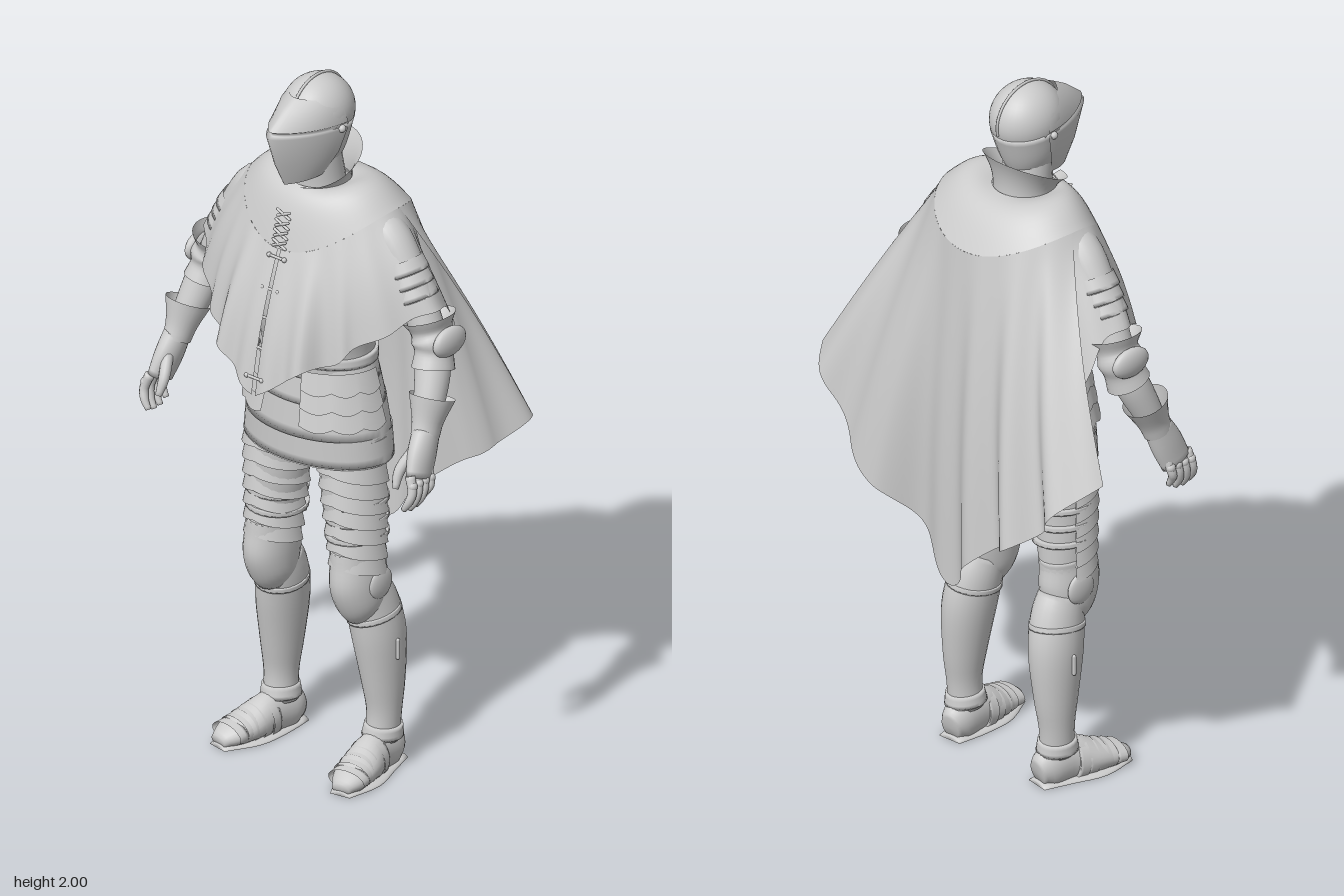
import * as THREE from 'three';
import { mergeVertices } from 'three/addons/utils/BufferGeometryUtils.js';

const steel = new THREE.MeshStandardMaterial({ color: 0xcccccc, side: THREE.DoubleSide });
steel.name = 'pale grey';
const V = (x, y, z) => new THREE.Vector3(x, y, z);
const { sin, cos, abs, PI, max } = Math;

function add(parent, name, geometry, x = 0, y = 0, z = 0) {
  const m = new THREE.Mesh(geometry, steel);
  m.name = name;
  m.position.set(x, y, z);
  parent.add(m);
  return m;
}

// Smooth surface from f(u, v), with u and v running 0..1
function sheet(nu, nv, f) {
  const pos = [], idx = [], w = nu + 1;
  for (let j = 0; j <= nv; j++) for (let i = 0; i <= nu; i++) pos.push(...f(i / nu, j / nv).toArray());
  for (let j = 0; j < nv; j++) for (let i = 0; i < nu; i++) {
    const a = j * w + i, b = a + w;
    idx.push(a, a + 1, b + 1, a, b + 1, b);
  }
  let g = new THREE.BufferGeometry();
  g.setAttribute('position', new THREE.Float32BufferAttribute(pos, 3));
  g.setIndex(idx);
  g = mergeVertices(g, 1e-5);
  g.computeVertexNormals();
  return g;
}

// Tapered elliptical tube through rows [x, y, z, width radius, depth radius]
function limb(rows, capped = true, seg = 24) {
  const path = new THREE.CatmullRomCurve3(rows.map(r => V(r[0], r[1], r[2])), false, 'catmullrom');
  const size = new THREE.CatmullRomCurve3(rows.map(r => V(r[3], r[4] ?? r[3], 0)), false, 'catmullrom');
  const n = (rows.length - 1) * 4, total = capped ? n + 2 : n;
  return sheet(seg, total, (u, v) => {
    const k = Math.round(v * total) - (capped ? 1 : 0), t = Math.min(1, max(0, k / n));
    const p = path.getPoint(t), r = size.getPoint(t), d = path.getTangent(t);
    const s = V(1, 0, 0).addScaledVector(d, -d.x).normalize(), f = s.clone().cross(d);
    const q = k < 0 || k > n ? 0 : 1, a = u * 2 * PI;
    p.addScaledVector(s, q * r.x * sin(a)).addScaledVector(f, q * r.y * cos(a));
    p.y = max(0, p.y);
    return p;
  });
}

// Outer edge of the shoulder yoke; angle 0 is the front
const yokeEdge = a => V(0.235 * sin(a), 1.66 - (cos(a) > 0 ? 0.12 : 0.08) * cos(a) ** 2, 0.01 + 0.195 * cos(a));

function helmet() {
  const g = new THREE.Group();
  g.name = 'helmet';
  add(g, 'skull', new THREE.SphereGeometry(1, 36, 24), 0, 1.895, 0.05).scale.set(0.093, 0.1, 0.107);
  add(g, 'helmetLower', limb([[0, 1.76, 0.07, 0.06, 0.075], [0, 1.81, 0.06, 0.08, 0.09], [0, 1.88, 0.05, 0.092, 0.105]]));
  // Raised comb from brow to nape
  const comb = [];
  for (let i = 0; i <= 12; i++) {
    const a = -0.35 + i / 12 * 3.1;
    comb.push(V(0, 1.895 + 0.102 * sin(a + 0.6), 0.05 + 0.108 * cos(a + 0.6)));
  }
  add(g, 'comb', new THREE.TubeGeometry(new THREE.CatmullRomCurve3(comb), 40, 0.004, 8));
  // Pointed visor with a recessed eye slit: [y, half width, side z, tip z]
  const rows = [[1.735, 0.052, 0.09, 0.185], [1.8, 0.082, 0.06, 0.218], [1.868, 0.096, 0.04, 0.25],
    [1.872, 0.09, 0.045, 0.232], [1.88, 0.09, 0.045, 0.23], [1.885, 0.097, 0.04, 0.242], [1.93, 0.088, 0.05, 0.185], [1.952, 0.072, 0.06, 0.145]];
  add(g, 'visor', sheet(32, rows.length - 1, (u, v) => {
    const [y, w, zs, tip] = rows[Math.round(v * (rows.length - 1))], t = u * 2 - 1;
    return V(w * sin(t * PI / 2) * (0.85 + 0.15 * abs(t)), y + 0.012 * (1 - abs(t)) * (v > 0.2 ? 1 : -1), zs + (tip - zs) * (1 - abs(t) ** 1.4));
  }));
  for (const s of [-1, 1]) add(g, 'visorPivot', new THREE.SphereGeometry(0.011, 12, 8), s * 0.092, 1.87, 0.06);
  return g;
}

function cloak() {
  const g = new THREE.Group();
  g.name = 'cloak';
  add(g, 'yoke', sheet(64, 10, (u, v) => {
    const a = u * 2 * PI, n = V(0.085 * sin(a), 1.7, 0.04 + 0.085 * cos(a));
    const p = n.lerp(yokeEdge(a), v);
    p.y += 0.035 * sin(PI * v);
    return p;
  }));
  // Standing collar, open at the throat
  add(g, 'collar', sheet(48, 8, (u, v) => {
    const a = 0.2 + u * (2 * PI - 0.4), r = 0.084 + 0.032 * v * v;
    return V(r * sin(a), 1.69 + v * (0.065 - 0.05 * cos(a)), 0.042 + (r - 0.008 * v) * cos(a));
  }));
  // Front halves, with a flap falling behind each arm
  const hem = new THREE.CatmullRomCurve3([[0.006, 1.15, 0.31], [0.08, 1.2, 0.3], [0.14, 1.25, 0.285], [0.2, 1.27, 0.225],
    [0.25, 1.32, 0.2], [0.32, 1.37, 0.13], [0.385, 1.42, 0.06], [0.39, 1.41, -0.02], [0.35, 1.27, -0.09], [0.28, 1.14, -0.13]].map(p => V(...p)));
  const half = sheet(60, 16, (u, v) => {
    const a = 0.02 + u * 1.9, p = yokeEdge(a).lerp(hem.getPoint(u), v);
    const out = 0.012 * sin(PI * v) + 0.009 * v * sin(u * 38);
    return p.add(V(sin(a) * out, 0, cos(a) * out));
  });
  for (const s of [-1, 1]) add(g, 'frontCape', half).scale.x = s;
  // Long back cape with a pointed hem
  const back = new THREE.CatmullRomCurve3([[0.54, 1.09, -0.18], [0.46, 1.0, -0.245], [0.36, 0.91, -0.24], [0.28, 0.84, -0.3],
    [0.2, 0.79, -0.25], [0.1, 0.7, -0.215], [0, 0.59, -0.225], [-0.1, 0.7, -0.27], [-0.2, 0.79, -0.26], [-0.3, 0.85, -0.305],
    [-0.38, 0.91, -0.26], [-0.45, 1.0, -0.265], [-0.54, 1.09, -0.18]].map(p => V(...p)));
  add(g, 'backCape', sheet(110, 24, (u, v) => {
    const p = yokeEdge(1.65 + u * (2 * PI - 3.3)).lerp(back.getPoint(u), v);
    p.z -= 0.014 * v * sin(u * 44) + 0.018 * sin(PI * v);
    return p;
  }));
  // Laces on the yoke and clasps down the opening
  const bar = new THREE.CapsuleGeometry(0.004, 0.045, 4, 8);
  for (let i = 0; i < 4; i++) for (const s of [-1, 1])
    add(g, 'lace', bar, 0, 1.555 + i * 0.027, 0.206 - i * 0.006).rotation.z = s * 1.15;
  for (const y of [1.52, 1.435, 1.36, 1.28, 1.2]) {
    const z = 0.21 + 0.11 * (1.54 - y) / 0.39;
    add(g, 'clasp', bar, 0, y, z).rotation.z = PI / 2;
    for (const s of [-1, 1]) add(g, 'claspKnob', new THREE.SphereGeometry(0.007, 10, 8), s * 0.026, y, z);
  }
  return g;
}

function torso() {
  const g = new THREE.Group();
  g.name = 'torso';
  add(g, 'neck', limb([[0, 1.62, 0.04, 0.08], [0, 1.7, 0.045, 0.07], [0, 1.8, 0.06, 0.065]]));
  add(g, 'breastplate', limb([[0, 1.16, 0.045, 0.17, 0.122], [0, 1.24, 0.05, 0.168, 0.128], [0, 1.36, 0.058, 0.185, 0.148],
    [0, 1.52, 0.045, 0.19, 0.135], [0, 1.65, 0.03, 0.12, 0.08]], true, 40));
  // Overlapping skirt hoops
  const hoops = [[0.92, 1.0, 0.227, 0.217], [0.99, 1.09, 0.219, 0.198], [1.08, 1.16, 0.202, 0.18], [1.15, 1.215, 0.185, 0.167]];
  for (const [y0, y1, r0, r1] of hoops)
    add(g, 'skirtHoop', limb([[0, y0, 0.045, r0, r0 * 0.67], [0, y1, 0.045, r1, r1 * 0.71]], false, 48));
  add(g, 'belt', limb([[0, 1.195, 0.045, 0.176, 0.129], [0, 1.225, 0.045, 0.174, 0.128]], true, 40));
  // Scalloped hip plates in three lames
  for (const s of [-1, 1]) for (let i = 0; i < 3; i++) {
    const top = 1.19 - i * 0.05;
    add(g, 'hipPlate', sheet(36, 5, (u, v) => {
      const a = 0.3 + u * 1.35, y = top - v * (0.062 - 0.012 * (1 - abs(sin(u * 3 * PI))));
      const r = 0.186 + (1.2 - y) * 0.19 + 0.006 * v;
      return V(r * sin(a), y, 0.045 + r * 0.75 * cos(a));
    })).scale.x = s;
  }
  return g;
}

function leg() {
  const g = new THREE.Group();
  add(g, 'greave', limb([[0.175, 0.08, -0.005, 0.045, 0.05], [0.178, 0.16, -0.01, 0.045, 0.05], [0.175, 0.25, -0.01, 0.054, 0.064],
    [0.167, 0.38, -0.003, 0.066, 0.08], [0.157, 0.47, 0.012, 0.065, 0.078], [0.152, 0.53, 0.035, 0.058, 0.07]]));
  add(g, 'thigh', limb([[0.15, 0.56, 0.05, 0.06, 0.074], [0.14, 0.7, 0.055, 0.072, 0.08], [0.13, 0.8, 0.058, 0.082, 0.086], [0.124, 0.97, 0.055, 0.09, 0.095]]));
  // Knee cop with flared rims and a side wing
  add(g, 'kneeCop', limb([[0.152, 0.455, 0.048, 0.04, 0.05], [0.152, 0.5, 0.055, 0.062, 0.074], [0.15, 0.56, 0.06, 0.067, 0.09], [0.147, 0.62, 0.06, 0.066, 0.084], [0.146, 0.65, 0.057, 0.068, 0.084]]));
  add(g, 'kneeWing', new THREE.SphereGeometry(1, 20, 12), 0.212, 0.565, 0.045).scale.set(0.014, 0.045, 0.045);
  // Chevron thigh lames
  for (let i = 0; i < 7; i++) add(g, 'thighLame', sheet(28, 4, (u, v) => {
    const t = u * 2 - 1, a = t * 1.9, yb = 0.625 + i * 0.045, y = yb + 0.055 * v - 0.035 * abs(t);
    const k = (yb - 0.6) / 0.35, o = 0.012 - 0.011 * v;
    return V(0.148 - 0.022 * k + (0.064 + 0.026 * k + o) * sin(a), y, 0.053 + (0.077 + 0.017 * k + o) * cos(a));
  }));
  for (const y of [0.69, 0.74, 0.79])
    add(g, 'thighStrap', limb([[0.139, y, 0.053, 0.083, 0.089], [0.138, y + 0.014, 0.053, 0.083, 0.089]]));
  add(g, 'calfBand', limb([[0.16, 0.445, 0.008, 0.069, 0.082], [0.158, 0.46, 0.01, 0.068, 0.081]]));
  add(g, 'shinHinge', new THREE.CapsuleGeometry(0.006, 0.05, 4, 8), 0.234, 0.36, 0);
  // Armoured shoe with overlapping plates
  add(g, 'ankleBand', limb([[0.176, 0.09, -0.006, 0.054, 0.06], [0.178, 0.125, -0.008, 0.049, 0.054]]));
  add(g, 'shoe', limb([[0.168, 0.035, -0.07, 0.028, 0.035], [0.172, 0.045, -0.035, 0.045, 0.06], [0.18, 0.05, 0.035, 0.047, 0.062],
    [0.193, 0.04, 0.1, 0.056, 0.045], [0.205, 0.028, 0.16, 0.05, 0.032], [0.212, 0.018, 0.205, 0.026, 0.018]]));
  for (let i = 0; i < 5; i++) {
    const z = 0.035 + i * 0.028, x = 0.181 + i * 0.0055, h = 0.068 - i * 0.0075;
    add(g, 'shoeLame', limb([[x, 0.045 - i * 0.003, z, 0.051 + i * 0.001, h - 0.006], [x + 0.004, 0.043 - i * 0.003, z + 0.03, 0.056, h - 0.009]], false));
  }
  add(g, 'sole', limb([[0.168, 0, -0.072, 0.035, 0.012], [0.178, 0, 0.02, 0.053, 0.012], [0.195, 0, 0.11, 0.062, 0.012], [0.212, 0, 0.208, 0.03, 0.012]]));
  return g;
}

function arm() {
  const g = new THREE.Group();
  add(g, 'upperArm', limb([[0.375, 1.33, 0.03, 0.046], [0.31, 1.47, 0.03, 0.05], [0.24, 1.58, 0.03, 0.055], [0.18, 1.62, 0.03, 0.05]]));
  for (let i = 0; i < 3; i++) {
    const x = 0.325 - i * 0.016, y = 1.435 + i * 0.032;
    add(g, 'armLame', limb([[x, y, 0.03, 0.06, 0.064], [x - 0.018, y + 0.036, 0.03, 0.054, 0.058]], false));
  }
  // Elbow cop with flared upper and lower rims
  add(g, 'elbowCop', limb([[0.395, 1.26, 0.045, 0.056, 0.062], [0.388, 1.3, 0.033, 0.05, 0.056], [0.383, 1.33, 0.027, 0.058, 0.065], [0.372, 1.36, 0.025, 0.052, 0.06], [0.362, 1.395, 0.025, 0.07, 0.078]], false));
  add(g, 'elbowWing', new THREE.SphereGeometry(1, 20, 12), 0.43, 1.34, 0.02).scale.set(0.022, 0.042, 0.062);
  add(g, 'forearm', limb([[0.427, 1.11, 0.115, 0.034], [0.413, 1.19, 0.08, 0.043], [0.398, 1.26, 0.05, 0.048], [0.38, 1.33, 0.03, 0.045]]));
  add(g, 'gauntletCuff', limb([[0.43, 1.1, 0.118, 0.036, 0.042], [0.426, 1.14, 0.103, 0.042, 0.046], [0.422, 1.2, 0.08, 0.062, 0.064]], false));
  add(g, 'palm', limb([[0.43, 1.12, 0.112, 0.034, 0.04], [0.438, 1.06, 0.14, 0.032, 0.048], [0.448, 1.0, 0.165, 0.024, 0.047]]));
  // Fingers curl inward, with knuckle plates
  for (let i = 0; i < 4; i++) {
    const z = 0.13 + i * 0.024, e = [0.015, 0.002, 0, 0.006][i];
    add(g, 'finger', limb([[0.45, 1.02, z, 0.014], [0.464, 0.98, z + 0.007, 0.0125], [0.458, 0.945 + e, z + 0.014, 0.0115], [0.442, 0.918 + e, z + 0.016, 0.008]], true, 12));
    add(g, 'knuckle', new THREE.SphereGeometry(0.014, 12, 8), 0.462, 0.995, z + 0.004);
  }
  add(g, 'thumb', limb([[0.425, 1.07, 0.16, 0.016], [0.408, 1.02, 0.195, 0.015], [0.41, 0.975, 0.215, 0.009]], true, 12));
  return g;
}

export function createModel() {
  const model = new THREE.Group();
  model.name = 'cloakedKnight';
  model.add(helmet(), cloak(), torso());
  for (const [side, s] of [['left', 1], ['right', -1]]) for (const [name, make] of [['Leg', leg], ['Arm', arm]]) {
    const part = make();
    part.name = side + name;
    part.scale.x = s;
    model.add(part);
  }
  return model;
}
